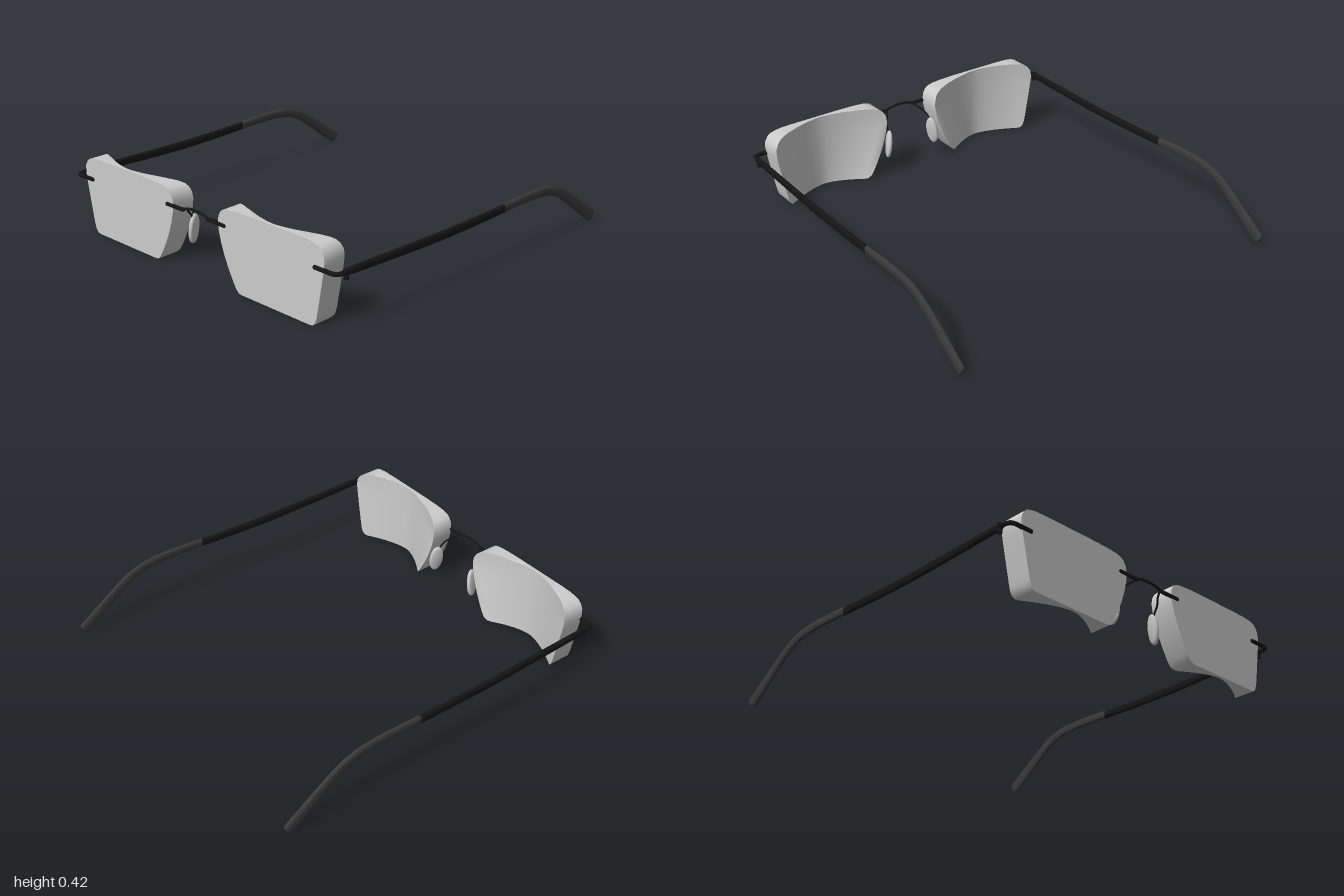
import * as THREE from 'three';
import { toCreasedNormals } from 'three/addons/utils/BufferGeometryUtils.js';

const V = (x, y, z) => new THREE.Vector3(x, y, z);
const lerp = THREE.MathUtils.lerp;

// Skin through equal closed loops, with strip caps at both ends.
function loft(rings, crease = 0.6) {
  const n = rings[0].length, last = (rings.length - 1) * n, index = [];
  const quad = (a, b, c, d) => index.push(a, b, c, a, c, d);
  for (let j = 0; j < rings.length - 1; j++) {
    for (let i = 0; i < n; i++) {
      const k = (i + 1) % n;
      quad(j * n + i, j * n + k, (j + 1) * n + k, (j + 1) * n + i);
    }
  }
  for (let i = 0; i < n / 2 - 1; i++) {
    quad(last + i, last + i + 1, last + n - 2 - i, last + n - 1 - i);
    quad(n - 1 - i, n - 2 - i, i + 1, i);
  }
  const geo = new THREE.BufferGeometry().setFromPoints(rings.flat());
  geo.setIndex(index);
  return toCreasedNormals(geo, crease);
}

// Rounded bar of changing height along [x, y, z, height] points.
function bar(points, width, steps) {
  const curve = new THREE.CatmullRomCurve3(points.map(p => V(p[0], p[1], p[2])));
  const rings = [], soft = c => Math.sign(c) * Math.abs(c) ** 0.7;
  for (let s = 0; s <= steps; s++) {
    const t = s / steps, f = t * (points.length - 1);
    const k = Math.min(Math.floor(f), points.length - 2);
    const h = lerp(points[k][3], points[k + 1][3], f - k);
    const c = curve.getPoint(t), side = V(1, 0, 0);
    const up = curve.getTangent(t).cross(side).normalize();
    const ring = [];
    for (let i = 0; i < 16; i++) {
      const a = (i + 0.5) / 16 * Math.PI * 2;
      ring.push(c.clone().addScaledVector(side, soft(Math.cos(a)) * width / 2)
        .addScaledVector(up, soft(Math.sin(a)) * h / 2));
    }
    rings.push(ring);
  }
  return loft(rings, 0.9);
}

// Wire with closed ends.
function wire(points, radius) {
  const curve = new THREE.CatmullRomCurve3(points.map(p => V(...p)));
  return new THREE.TubeGeometry(curve, 32, radius, 10);
}

// Mirrored copy in x, with the triangle corners reversed.
function mirrored(source) {
  const geo = source.index ? source.toNonIndexed() : source.clone();
  geo.scale(-1, 1, 1);
  for (const name of ['position', 'normal']) {
    const a = geo.attributes[name].array;
    for (let i = 0; i < a.length; i += 9) {
      for (let k = 0; k < 3; k++) [a[i + k], a[i + 6 + k]] = [a[i + 6 + k], a[i + k]];
    }
  }
  return geo;
}

// Lens: flat front, back hollowed from side to side.
function lensGeometry() {
  const rows = [ // y, inner x, outer x
    [0.01, 0.32, 0.78], [0.014, 0.3, 0.798], [0.03, 0.283, 0.812], [0.06, 0.265, 0.822],
    [0.11, 0.238, 0.832], [0.17, 0.21, 0.843], [0.24, 0.185, 0.856], [0.3, 0.17, 0.867],
    [0.34, 0.165, 0.872], [0.375, 0.17, 0.869], [0.4, 0.183, 0.855], [0.415, 0.202, 0.838],
    [0.424, 0.235, 0.81], [0.429, 0.3, 0.77], [0.431, 0.4, 0.7],
  ];
  const steps = 28, mid = 0.53, front = 0.987;
  return loft(rows.map(([y, xi, xo]) => {
    const v = Math.min(y / 0.35, 1), ring = [], back = [];
    const inner = lerp(0.29, 0.165, v), outer = lerp(0.81, 0.872, v);
    for (let i = 0; i <= steps; i++) {
      const x = lerp(xi, xo, i / steps);
      const t = Math.min(Math.abs(x - mid) / (x < mid ? mid - inner : outer - mid), 1);
      ring.push(V(x, y, front));
      back.unshift(V(x, y, 0.97 - 0.113 * t ** 1.6));
    }
    return ring.concat(back);
  }));
}

// Nose pad: thin oval disc leaning outward at the bottom and back.
function padGeometry() {
  const profile = [[0, -1], [0.8, -1], [0.95, -0.7], [1, 0], [0.95, 0.7], [0.8, 1], [0, 1]];
  const geo = new THREE.LatheGeometry(profile.map(p => new THREE.Vector2(...p)), 28);
  geo.rotateZ(-Math.PI / 2);
  geo.scale(0.011, 0.083, 0.04);
  geo.rotateY(-0.3);
  geo.rotateZ(0.12);
  geo.translate(0.151, 0.187, 0.872);
  return toCreasedNormals(geo, 0.9);
}

export function createModel() {
  const model = new THREE.Group();
  const grey = new THREE.MeshStandardMaterial({ color: 0xcccccc });
  const black = new THREE.MeshStandardMaterial({ color: 0x151515 });
  const dark = new THREE.MeshStandardMaterial({ color: 0x3a3a3a });
  const add = (name, geo, mat) => {
    const mesh = new THREE.Mesh(geo, mat);
    mesh.name = name;
    model.add(mesh);
  };
  const pair = (name, geo, mat) => {
    add('left' + name, geo, mat);
    add('right' + name, mirrored(geo), mat);
  };

  pair('Lens', lensGeometry(), grey);
  pair('NosePad', padGeometry(), grey);

  // Bridge with thicker pins on the lenses
  add('bridge', wire([[-0.2, 0.335, 0.985], [-0.1, 0.338, 0.985], [-0.05, 0.35, 0.985],
    [0, 0.354, 0.985], [0.05, 0.35, 0.985], [0.1, 0.338, 0.985], [0.2, 0.335, 0.985]], 0.007), black);
  const pin = new THREE.CapsuleGeometry(0.01, 0.12, 4, 10);
  pin.rotateZ(Math.PI / 2);
  pin.translate(0.15, 0.335, 0.987);
  pair('BridgePin', pin, black);
  pair('PadArm', wire([[0.085, 0.34, 0.983], [0.105, 0.322, 0.95], [0.132, 0.295, 0.92],
    [0.142, 0.26, 0.89], [0.145, 0.215, 0.885]], 0.005), black);

  // End pieces turn the corner from lens to temple
  const start = new THREE.SphereGeometry(0.0115, 12, 8);
  start.translate(0.815, 0.308, 0.988);
  pair('EndPieceCap', start, black);
  pair('EndPiece', wire([[0.815, 0.308, 0.988], [0.87, 0.308, 0.988], [0.915, 0.308, 0.988],
    [0.938, 0.307, 0.978], [0.946, 0.306, 0.955], [0.947, 0.306, 0.92]], 0.0115), black);
  const hinge = new THREE.CylinderGeometry(0.012, 0.012, 0.05, 12);
  hinge.translate(0.948, 0.297, 0.925);
  pair('Hinge', hinge, black);

  // Temples and their curved ear tips
  pair('Temple', bar([[0.946, 0.306, 0.94, 0.026], [0.947, 0.304, 0.88, 0.038], [0.95, 0.295, 0.6, 0.044],
    [0.954, 0.287, 0.3, 0.047], [0.957, 0.288, 0.05, 0.046], [0.962, 0.294, -0.2, 0.044]], 0.023, 30), black);
  pair('EarTip', bar([[0.962, 0.296, -0.195, 0.046], [0.963, 0.3, -0.32, 0.048], [0.964, 0.299, -0.46, 0.05],
    [0.964, 0.287, -0.57, 0.052], [0.964, 0.25, -0.67, 0.055], [0.964, 0.185, -0.77, 0.06],
    [0.964, 0.105, -0.88, 0.067], [0.964, 0.046, -0.963, 0.071], [0.964, 0.035, -0.979, 0.064],
    [0.964, 0.031, -0.985, 0.045]], 0.025, 45), dark);

  return model;
}
